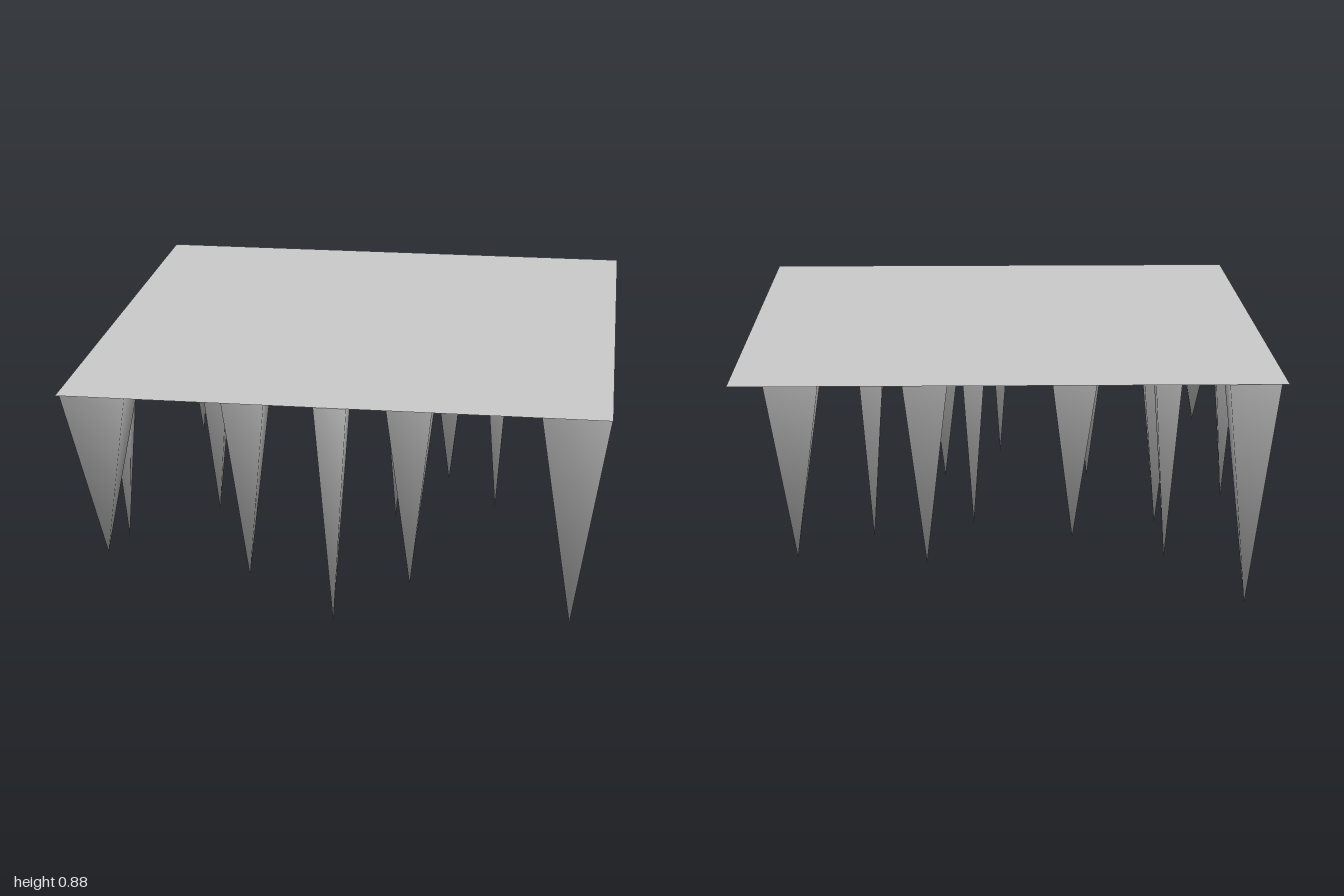
import * as THREE from 'three';
import { mergeVertices } from 'three/addons/utils/BufferGeometryUtils.js';

const TOP = 0.875;

// Slim four-sided spike hanging point down, square to the axes, with shared smooth normals
function spike(x, z, half, tip, top, material) {
  const height = top - tip;
  const cone = new THREE.ConeGeometry(half * Math.SQRT2, height, 4, 1, true);
  cone.deleteAttribute('normal');
  cone.deleteAttribute('uv');
  const geometry = mergeVertices(cone);
  geometry.rotateY(Math.PI / 4);
  geometry.rotateX(Math.PI);
  geometry.computeVertexNormals();
  const mesh = new THREE.Mesh(geometry, material);
  mesh.position.set(x, top - height / 2, z);
  mesh.name = 'spike';
  return mesh;
}

export function createModel() {
  const group = new THREE.Group();
  group.name = 'spikedCeiling';
  const material = new THREE.MeshStandardMaterial({ color: 0xcccccc, side: THREE.DoubleSide });

  // Flat ceiling sheet
  const sheet = new THREE.Mesh(new THREE.PlaneGeometry(2, 2).rotateX(-Math.PI / 2), material);
  sheet.position.y = TOP;
  sheet.name = 'ceilingSheet';
  group.add(sheet);

  // Spikes: x, z, half width, tip height, and base height where it hangs lower
  const spikes = [
    [0.875, 0.845, 0.125, 0],
    [0.875, 0.225, 0.122, 0.17],
    [0.87, -0.265, 0.08, 0.27, 0.86],
    [0.53, -0.19, 0.06, 0],
    [0.78, -0.845, 0.1, 0.17],
    [0.25, 0.595, 0.1, 0],
    [0, 0.94, 0.06, 0],
    [0.125, -0.03, 0.06, 0],
    [0.31, -0.47, 0.1, 0],
    [-0.38, 0.595, 0.095, 0],
    [-0.875, 0.845, 0.123, 0.19],
    [-0.25, -0.65, 0.092, 0.17],
    [-0.625, -0.03, 0.08, 0],
    [-0.94, 0.285, 0.06, 0],
    [-0.625, -0.44, 0.06, 0],
    [-0.88, -0.907, 0.093, 0],
  ];
  for (const [x, z, half, tip, top = TOP] of spikes) group.add(spike(x, z, half, tip, top, material));

  return group;
}
